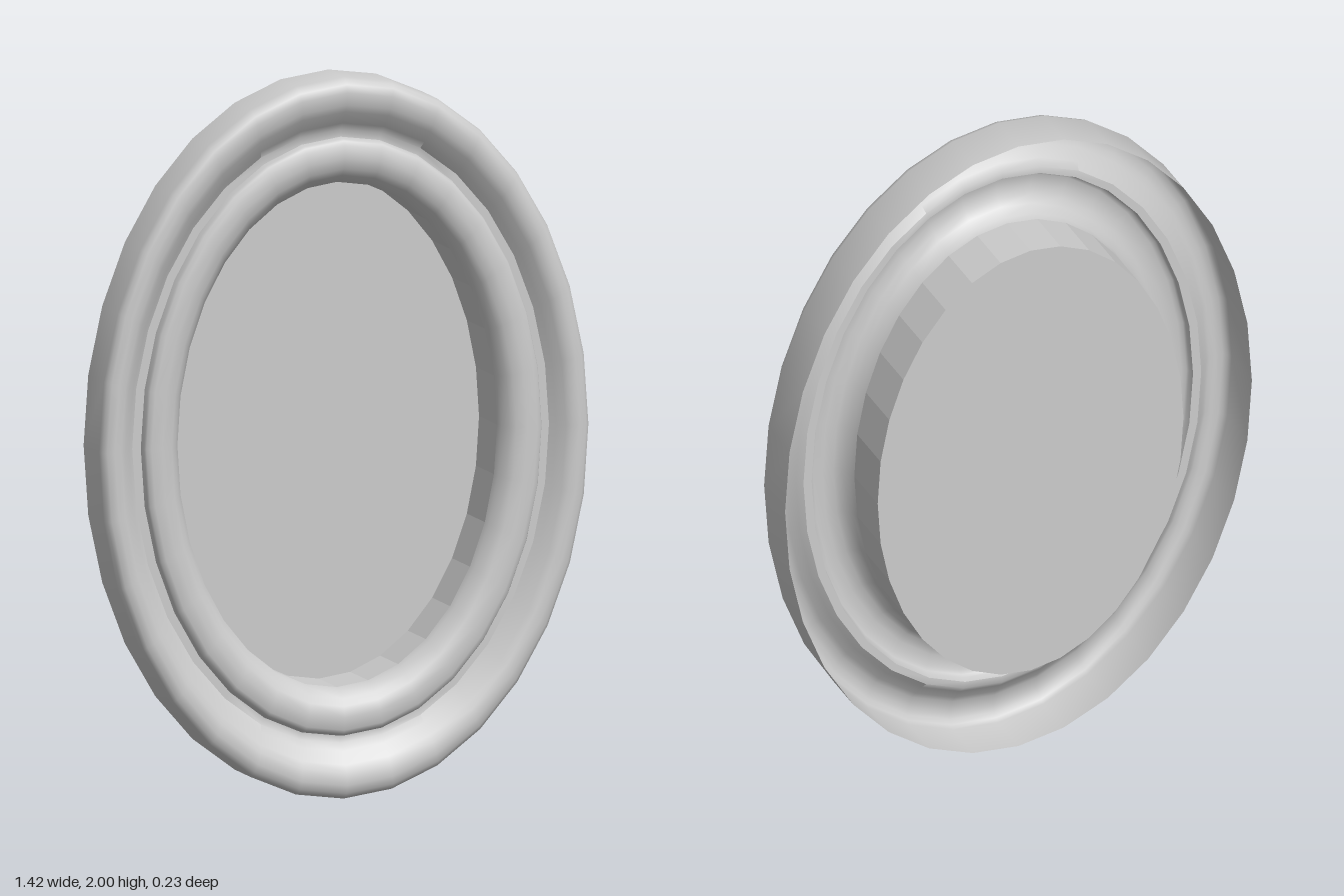
import * as THREE from 'three';
import { toCreasedNormals } from 'three/addons/utils/BufferGeometryUtils.js';

const SEGMENTS = 32;

// Sweeps a list of [half width, half height, z] rings, outermost first, into an oval sheet
function ovalSheet(rings, crease) {
  const pos = [], idx = [];
  for (const [a, b, z] of rings) {
    for (let i = 0; i < SEGMENTS; i++) {
      const t = (i / SEGMENTS) * Math.PI * 2;
      pos.push(a * Math.cos(t), 1 + b * Math.sin(t), z);
    }
  }
  for (let j = 0; j < rings.length - 1; j++) {
    for (let i = 0; i < SEGMENTS; i++) {
      const n = (i + 1) % SEGMENTS;
      const p = j * SEGMENTS + i, q = j * SEGMENTS + n;
      idx.push(p, q, p + SEGMENTS, q, q + SEGMENTS, p + SEGMENTS);
    }
  }
  const g = new THREE.BufferGeometry();
  g.setAttribute('position', new THREE.Float32BufferAttribute(pos, 3));
  g.setIndex(idx);
  return toCreasedNormals(g, crease);
}

export function createModel() {
  const group = new THREE.Group();
  const smooth = new THREE.MeshStandardMaterial({ color: 0xcccccc, side: THREE.DoubleSide });
  const faceted = new THREE.MeshStandardMaterial({ color: 0xcccccc, side: THREE.DoubleSide, flatShading: true });
  const add = (name, geometry, material) => {
    const mesh = new THREE.Mesh(geometry, material);
    mesh.name = name;
    group.add(mesh);
  };

  // Outer moulding, hollow at the back, sloping in to a narrow flat step
  add('outerFrame', ovalSheet([
    [0.71, 1, -0.04], [0.71, 1, 0.085], [0.705, 0.994, 0.1], [0.695, 0.982, 0.11],
    [0.675, 0.96, 0.115], [0.655, 0.925, 0.111], [0.64, 0.905, 0.1],
    [0.62, 0.87, 0.076], [0.605, 0.85, 0.06], [0.58, 0.83, 0.06],
  ], 0.7), smooth);

  // Rounded inner moulding that rolls over into the recess
  add('innerFrame', ovalSheet([
    [0.58, 0.83, 0.06], [0.577, 0.827, 0.078], [0.573, 0.822, 0.086], [0.56, 0.81, 0.092],
    [0.53, 0.775, 0.095], [0.5, 0.745, 0.088], [0.485, 0.725, 0.073],
    [0.47, 0.705, 0.05], [0.465, 0.7, 0.03],
  ], 0.8), smooth);

  // Straight wall of the recess
  add('recessWall', ovalSheet([[0.465, 0.7, 0.03], [0.465, 0.7, -0.115]], 0.05), faceted);

  // Flat oval panel closing the recess
  const panel = new THREE.CircleGeometry(1, SEGMENTS);
  panel.scale(0.465, 0.7, 1);
  panel.translate(0, 1, -0.115);
  add('backPanel', panel, smooth);

  return group;
}
